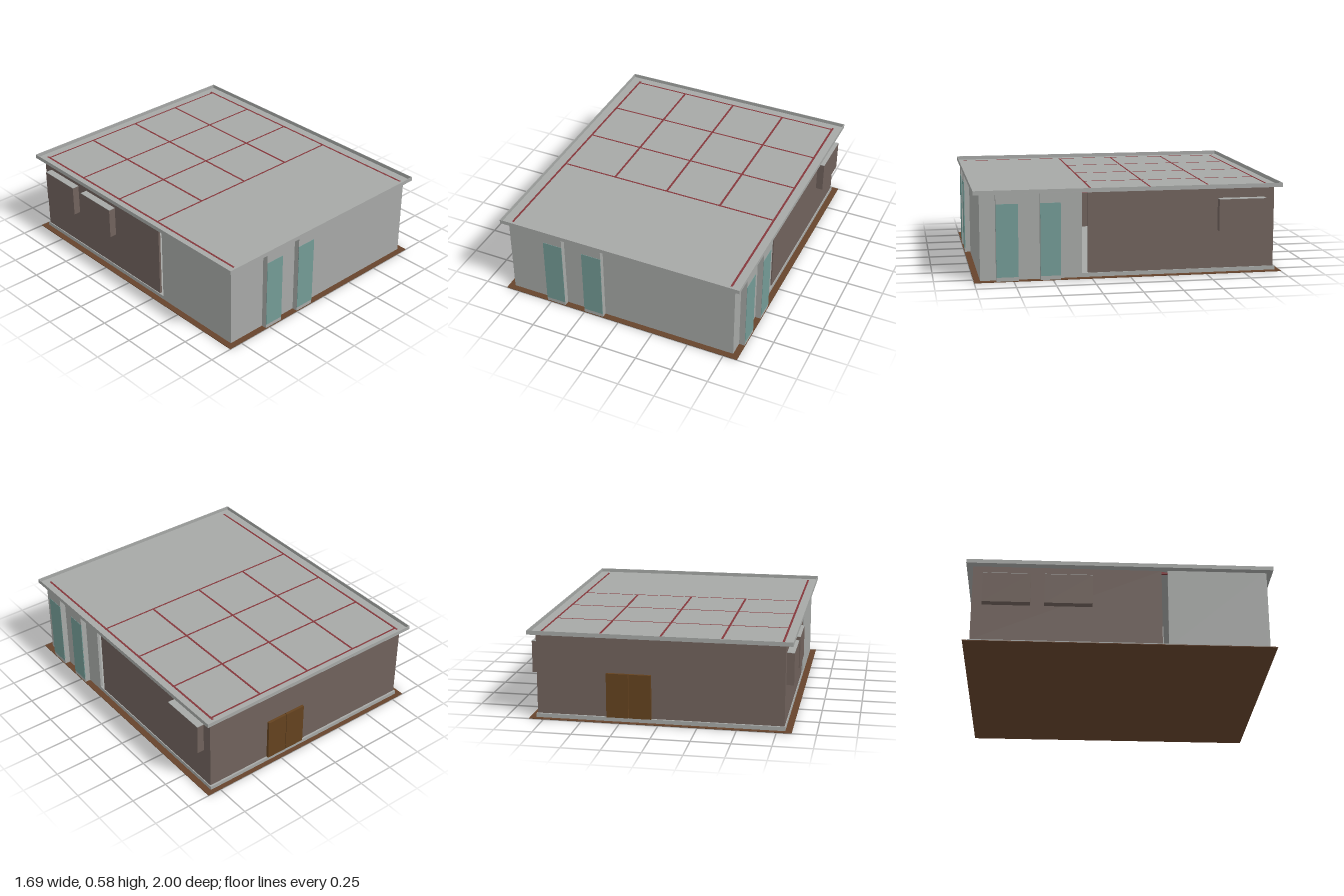
import * as THREE from 'three';

const mat = (name, color, side = THREE.FrontSide) => {
  const m = new THREE.MeshStandardMaterial({ color, side });
  m.name = name;
  return m;
};

export function createModel() {
  const model = new THREE.Group();
  model.name = 'house';
  const gray = mat('concrete gray', 0xa6a8a6, THREE.DoubleSide);
  const brown = mat('wall brown', 0x70625c);
  const teal = mat('glass teal', 0x739a95);
  const red = mat('beam red', 0x84383c);
  const wood = mat('door wood', 0x64421f);
  const earth = mat('ground brown', 0x66442c);

  // box given by its min and max on each axis
  const box = (name, m, [x0, x1], [y0, y1], [z0, z1]) => {
    const mesh = new THREE.Mesh(new THREE.BoxGeometry(x1 - x0, y1 - y0, z1 - z0), m);
    mesh.position.set((x0 + x1) / 2, (y0 + y1) / 2, (z0 + z1) / 2);
    mesh.name = name;
    model.add(mesh);
    return mesh;
  };

  const H = 0.56, RIM = 0.585, W = 0.845;

  // ground sheet and floor slab
  box('ground', earth, [-W, W], [0, 0.004], [-1, 1]);
  box('floorSlab', gray, [-0.803, 0.803], [0.002, 0.03], [-0.97, 0.955]);

  // recessed roof deck with a thin raised rim
  box('roofDeck', gray, [-W, W], [H - 0.002, H], [-1, 1]);
  for (const s of [-1, 1]) {
    const x = s * (W - 0.002), z = s * 0.998;
    box('roofRimSide', gray, [x - 0.002, x + 0.002], [H, RIM], [-1, 1]);
    box('roofRimEnd', gray, [-W, W], [H, RIM], [z - 0.002, z + 0.002]);
  }

  // ceiling beams, flush with the deck
  const beamY = [0.545, H + 0.0004];
  for (const x of [-0.775, -0.39, 0, 0.39, 0.775]) {
    const outer = Math.abs(x) > 0.7;
    box('longBeam', red, [x - 0.007, x + 0.007], beamY, outer ? [-0.955, 0.955] : [-0.935, 0.235]);
  }
  for (const z of [-0.935, -0.545, -0.155, 0.235])
    box('crossBeam', red, [-0.775, 0.775], beamY, [z - 0.006, z + 0.006]);

  // rear room: brown side walls and back wall
  const wallY = [0.03, H - 0.002];
  box('rearWallLeft', brown, [0.782, 0.797], wallY, [-0.957, 0.27]);
  box('rearWallRight', brown, [-0.797, -0.782], wallY, [-0.957, 0.27]);
  box('backWall', brown, [-0.782, 0.782], wallY, [-0.957, -0.942]);

  // front room: gray walls, with a low counter in the gap behind it
  const grayY = [0.004, H - 0.002];
  box('frontWall', gray, [-0.803, 0.803], grayY, [0.945, 0.96]);
  box('frontRoomLeft', gray, [0.785, 0.803], grayY, [0.31, 0.945]);
  box('frontRoomRight', gray, [-0.803, -0.785], grayY, [0.31, 0.945]);
  box('counter', gray, [-0.4, 0.4], [0.03, 0.35], [0.265, 0.315]);

  // projecting window bays with glass faces
  const glassY = [0.03, 0.498];
  for (const xs of [[-0.53, -0.395], [-0.25, -0.113]]) {
    box('frontBay', gray, xs, grayY, [0.955, 0.997]);
    box('frontGlass', teal, xs, glassY, [0.994, 0.999]);
  }
  for (const zs of [[0.72, 0.86], [0.45, 0.58]]) {
    box('sideBay', gray, [0.8, 0.842], grayY, zs);
    box('sideGlass', teal, [0.839, 0.844], glassY, zs);
  }

  // wall boxes with gray lids on the rear room
  for (const [s, z0, z1] of [[1, -0.89, -0.58], [-1, -0.89, -0.58], [-1, -0.49, -0.18]]) {
    const xs = s > 0 ? [0.79, W] : [-W, -0.79];
    box('wallBox', brown, xs, [0.28, 0.487], [z0, z1]);
    box('wallBoxLid', gray, xs, [0.487, 0.49], [z0, z1]);
  }

  // double door at the back
  box('doorLeafLeft', wood, [0.197, 0.34], [0.03, 0.32], [-0.975, -0.95]);
  box('doorLeafRight', wood, [0.05, 0.193], [0.03, 0.32], [-0.975, -0.95]);

  return model;
}
